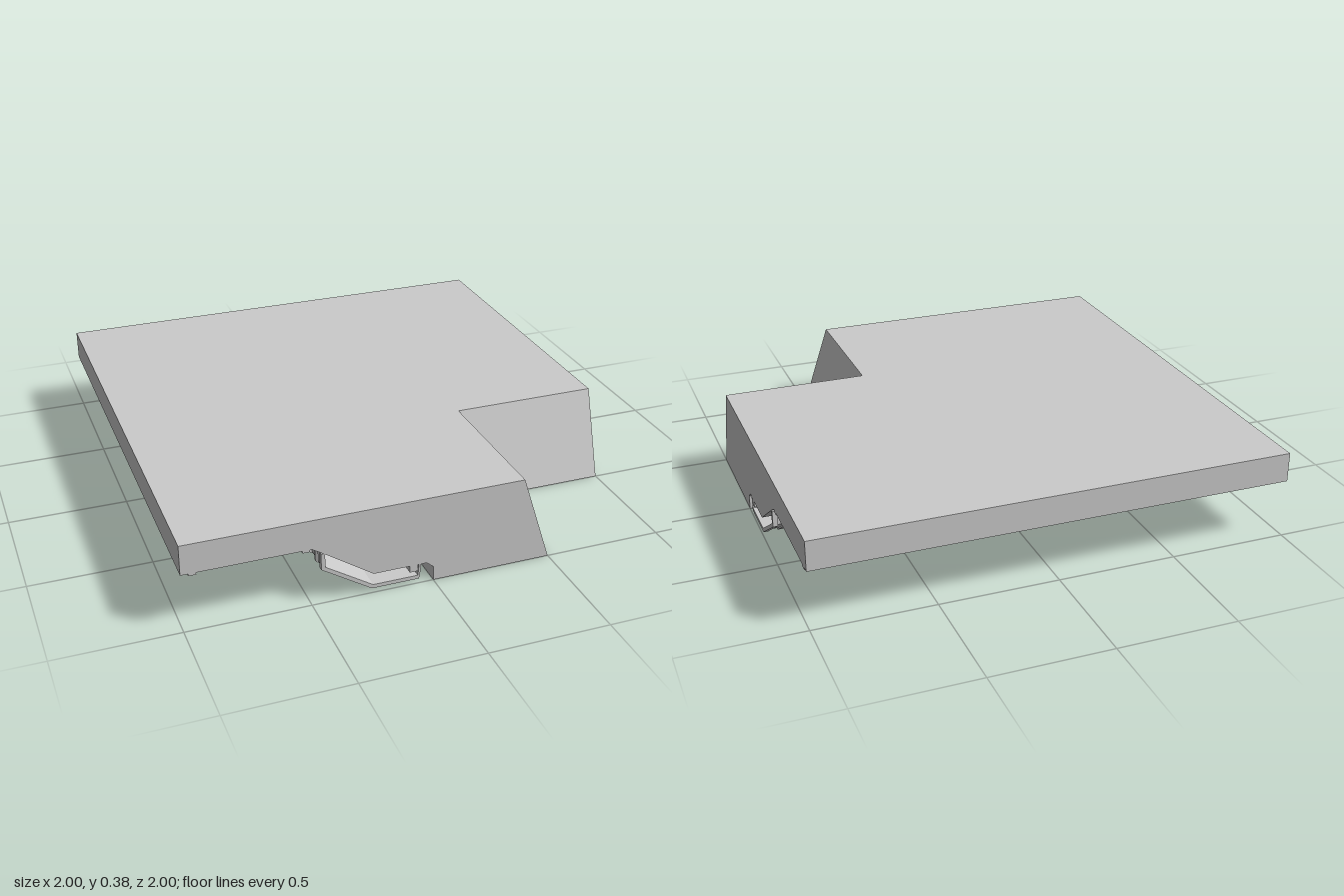
import * as THREE from 'three';

const grey = new THREE.MeshStandardMaterial({ color: 0xcccccc });

// Mirror a geometry across the diagonal x = z, keeping faces outward
function swapXZ(source) {
  const geo = source.index ? source.toNonIndexed() : source.clone();
  for (const key of ['position', 'normal']) {
    const at = geo.attributes[key], v = [0, 1, 2].map(() => new THREE.Vector3());
    for (let i = 0; i < at.count; i += 3) {
      v.forEach((p, k) => p.fromBufferAttribute(at, i + k));
      [0, 2, 1].forEach((k, n) => at.setXYZ(i + n, v[k].z, v[k].y, v[k].x));
    }
  }
  return geo;
}

// Profile of (x, y) points run along z from a to b, mitred on the diagonal
function run(profile, a, b) {
  const shape = new THREE.Shape(profile.map(([x, y]) => new THREE.Vector2(x, y)));
  const geo = new THREE.ExtrudeGeometry(shape, { depth: 1, bevelEnabled: false });
  const p = geo.attributes.position;
  for (let i = 0; i < p.count; i++) {
    const start = Math.max(a, p.getX(i));
    p.setZ(i, start + (b - start) * p.getZ(i));
  }
  geo.computeVertexNormals();
  return geo;
}

const rect = (x0, x1, y0, y1) => [[x0, y0], [x1, y0], [x1, y1], [x0, y1]];

export function createModel() {
  const model = new THREE.Group();

  // Every part belongs to one leg of the corner and is mirrored to the other
  function add(name, geo) {
    [geo, swapXZ(geo)].forEach((g, i) => {
      const mesh = new THREE.Mesh(g, grey);
      mesh.name = name + (i ? 'Back' : 'Front');
      model.add(mesh);
    });
  }

  // Main body with a long hollow under the slope
  add('body', run([
    [-1, 0.375], [-1, 0.25], [-0.36, 0.25], [-0.2, 0.18], [-0.12, 0.17], [-0.1, 0.085],
    [-0.03, 0.085], [0, 0.06], [0, 0], [0.5, 0], [0.375, 0.375],
  ], -1, 1));

  // Solid haunches that close the hollow beside each bracket
  const haunch = [
    [-0.5, 0.251], [-0.45, 0.22], [-0.25, 0.085], [-0.099, 0.085],
    [-0.119, 0.171], [-0.2, 0.181], [-0.36, 0.251],
  ];
  const bays = [[-0.15, 0.14], [0.79, 1]];
  for (const [a, b] of bays) add('haunch', run(haunch, a, b));

  // Hanging brackets: bent sheets, each with raised edge ribs
  const outer = [[-0.455, 0.215], [-0.455, 0.155], [-0.255, 0.027], [-0.058, 0.027], [-0.053, 0.09]];
  const inner = [[-0.062, 0.09], [-0.066, 0.036], [-0.252, 0.036], [-0.446, 0.16], [-0.446, 0.225]];
  const rib = [[-0.462, 0.22], [-0.462, 0.151], [-0.257, 0.02], [-0.06, 0.02], [-0.06, 0.03], [-0.254, 0.03], [-0.45, 0.157], [-0.45, 0.22]];
  for (const [a, b] of bays) {
    add('bracketSheet', run([...outer, ...inner], a, b));
    const mid = (a + b) / 2;
    for (const t of [a, mid - 0.045, mid + 0.025, b - 0.02]) add('bracketRib', run(rib, t, t + 0.02));
  }

  // Long lower tray and the rail above it
  add('tray', run([
    [-0.053, 0.09], [-0.062, 0.09], [-0.066, 0.036], [-0.17, 0.036], [-0.17, 0.027], [-0.058, 0.027],
  ], -1, 1));
  for (const x of [-0.17, -0.125, -0.08]) add('trayRidge', run(rect(x, x + 0.016, 0.021, 0.03), -1, 1));
  add('rail', run(rect(-0.1, -0.066, 0.056, 0.088), -1, 1));
  for (const t of [0.14, 0.46, 0.77]) {
    add('trayBand', run(rect(-0.175, -0.056, 0.019, 0.03), t, t + 0.02));
  }

  // Pipes in the hollow, with thicker sleeves; short runs meet at the corner
  function pipe(name, x, y, r, a, b) {
    const geo = new THREE.CylinderGeometry(r, r, b - a, 16);
    geo.rotateX(Math.PI / 2).translate(x, y, (a + b) / 2);
    add(name, geo);
  }
  for (const [x, y] of [[-0.385, 0.205], [-0.27, 0.13], [-0.165, 0.115]]) {
    pipe('pipe', x, y, 0.017, 0.13, 0.8);
    pipe('pipeSleeve', x, y, 0.024, 0.27, 0.66);
    for (const t of [0.18, 0.73]) pipe('pipeCollar', x, y, 0.023, t, t + 0.025);
    if (x < -0.2) {
      pipe('cornerPipe', x, y, 0.02, x, -0.14);
      const elbow = new THREE.Mesh(new THREE.SphereGeometry(0.021, 16, 10), grey);
      elbow.name = 'pipeElbow';
      elbow.position.set(x, y, x);
      model.add(elbow);
    }
  }

  // Clamps on the sloping face of each haunch
  for (const [a, b] of bays) {
    for (const t of [a + 0.04, b - 0.07]) {
      const clamp = new THREE.BoxGeometry(0.06, 0.02, 0.03);
      clamp.rotateZ(-0.594).translate(-0.305, 0.117, t + 0.015);
      add('clamp', clamp);
    }
  }

  // Raised framing on the flat underside
  const low = 0.241, high = 0.252;
  for (const x of [-0.97, -0.535]) add('edgeStrip', run(rect(x, x + 0.03, low, high), -1, 1));
  for (const t of [-0.14, -0.04, 0.02, 0.95]) {
    add('crossStrip', run(rect(-0.95, -0.52, low + 0.001, high), t, t + 0.025));
  }
  add('cornerFrame', run(rect(-0.82, -0.79, low, high), -1, -0.14));
  add('cornerPanel', run(rect(-0.76, -0.56, low + 0.004, high), -1, -0.17));

  // Framed bay panel with diagonal braces
  for (const x of [-0.88, -0.6]) add('bayFrame', run(rect(x, x + 0.02, low, high), 0.09, 0.91));
  for (const t of [0.09, 0.89]) add('bayFrame', run(rect(-0.88, -0.58, low, high), t, t + 0.02));
  for (const [z0, z1] of [[0.11, 0.49], [0.89, 0.51]]) {
    const dx = 0.26, dz = z1 - z0;
    const brace = new THREE.BoxGeometry(0.014, 0.008, Math.hypot(dx, dz));
    brace.rotateY(Math.atan2(-dx, dz)).translate(-0.73, 0.247, (z0 + z1) / 2);
    add('brace', brace);
  }
  return model;
}
